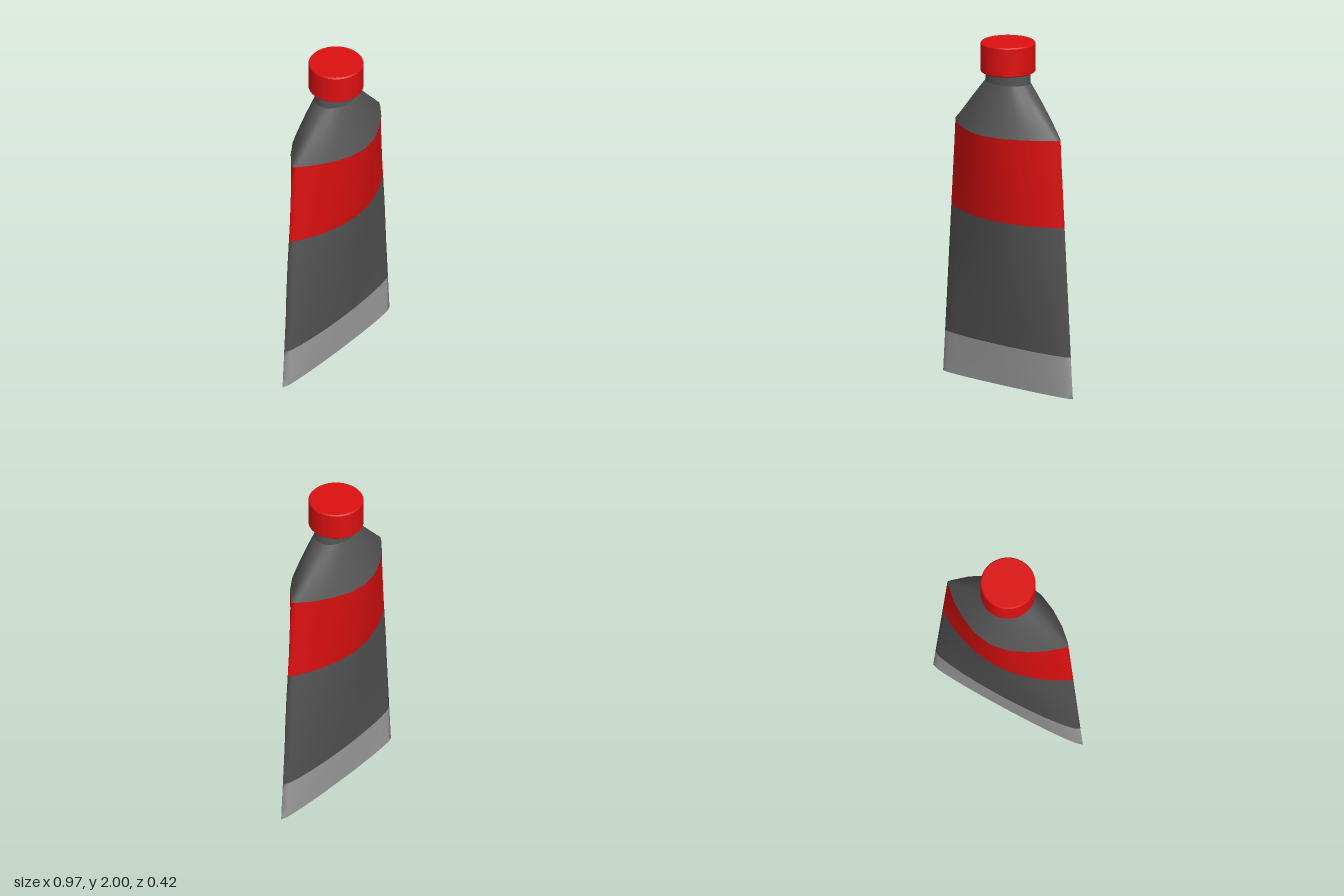
import * as THREE from 'three';

const RED = 0xdd1010, DARK = 0x555555, LIGHT = 0xa0a0a0;

// Quarter outlines [x, z] scaled to a unit half width and half depth
const LENS = [[0, 1], [0.28, 0.91], [0.53, 0.7], [0.77, 0.41], [0.96, 0.09], [1, 0]];
const FLAT = [[0, 1], [0.3, 0.96], [0.57, 0.84], [0.78, 0.65], [0.92, 0.42], [1, 0]];
const ROUND = [0, 1, 2, 3, 4, 5].map(i => [Math.sin(i * Math.PI / 10), Math.cos(i * Math.PI / 10)]);

// Full closed outline, running from +z to +x to -z to -x
function outline(q) {
  const half = [...q, ...q.slice(0, -1).reverse().map(([x, z]) => [x, -z])];
  return [...half, ...half.slice(1, -1).reverse().map(([x, z]) => [-x, z])];
}

// A level ring of the tube, blending two outlines
function ring(y, w, d, a, b = a, t = 0) {
  const q = a.map((p, i) => p.map((v, k) => v + (b[i][k] - v) * t));
  return outline(q).map(([x, z]) => [x * w, y, z * d]);
}

function mesh(name, geometry, color) {
  const m = new THREE.Mesh(geometry, new THREE.MeshStandardMaterial({ color }));
  m.name = name;
  return m;
}

// Skin stacked rings, bottom to top
function loft(rings) {
  const n = rings[0].length, index = [];
  for (let r = 0; r < rings.length - 1; r++) {
    for (let i = 0; i < n; i++) {
      const a = r * n + i, b = r * n + (i + 1) % n;
      index.push(a, b, b + n, a, b + n, a + n);
    }
  }
  const g = new THREE.BufferGeometry();
  g.setAttribute('position', new THREE.Float32BufferAttribute(rings.flat(2), 3));
  g.setIndex(index);
  g.computeVertexNormals();
  return g;
}

// Tapering body section: wide and flat at the foot, full at the shoulder
function bodyRing(y) {
  const t = y / 1.49;
  const depth = y < 0.24 ? 0.03 + 0.022 * y / 0.24 : 0.052 + 0.158 * (y - 0.24) / 1.25;
  return ring(y, 0.485 - 0.093 * t, depth, FLAT, LENS, Math.min(1, t * 1.4));
}

function band(name, y0, y1, color) {
  const rings = [];
  for (let i = 0; i <= 4; i++) rings.push(bodyRing(y0 + (y1 - y0) * i / 4));
  return mesh(name, loft(rings), color);
}

export function createModel() {
  const group = new THREE.Group();
  group.name = 'squeezeTube';

  // Body bands
  group.add(
    band('crimpedEnd', 0, 0.24, LIGHT),
    band('lowerBody', 0.24, 0.985, DARK),
    band('labelBand', 0.985, 1.49, RED)
  );

  // Closed foot
  const foot = new THREE.Shape(bodyRing(0).map(([x, , z]) => new THREE.Vector2(x, z)));
  const bottom = mesh('footSeal', new THREE.ShapeGeometry(foot), DARK);
  bottom.rotation.x = Math.PI / 2;
  bottom.position.y = 0.002;
  group.add(bottom);

  // Shoulder narrowing from the lens outline to the oval neck
  const shoulder = [];
  for (let i = 0; i <= 5; i++) {
    const t = i / 5;
    shoulder.push(ring(1.49 + 0.28 * t, 0.392 - 0.25 * t, 0.21 - 0.104 * t, LENS, ROUND, t));
  }
  group.add(mesh('shoulder', loft(shoulder), DARK));
  group.add(mesh('neck', loft([ring(1.77, 0.142, 0.106, ROUND), ring(1.85, 0.142, 0.106, ROUND)]), DARK));

  // Screw cap with a slightly softened rim; doubled points keep edges crisp
  const profile = [[0, 1.83], [0.15, 1.83], [0.15, 1.83], [0.155, 1.835], [0.155, 1.835],
    [0.155, 1.993], [0.155, 1.993], [0.149, 2], [0.149, 2], [0, 2]];
  const cap = new THREE.LatheGeometry(profile.map(p => new THREE.Vector2(...p)), 32);
  group.add(mesh('cap', cap, RED));
  return group;
}
